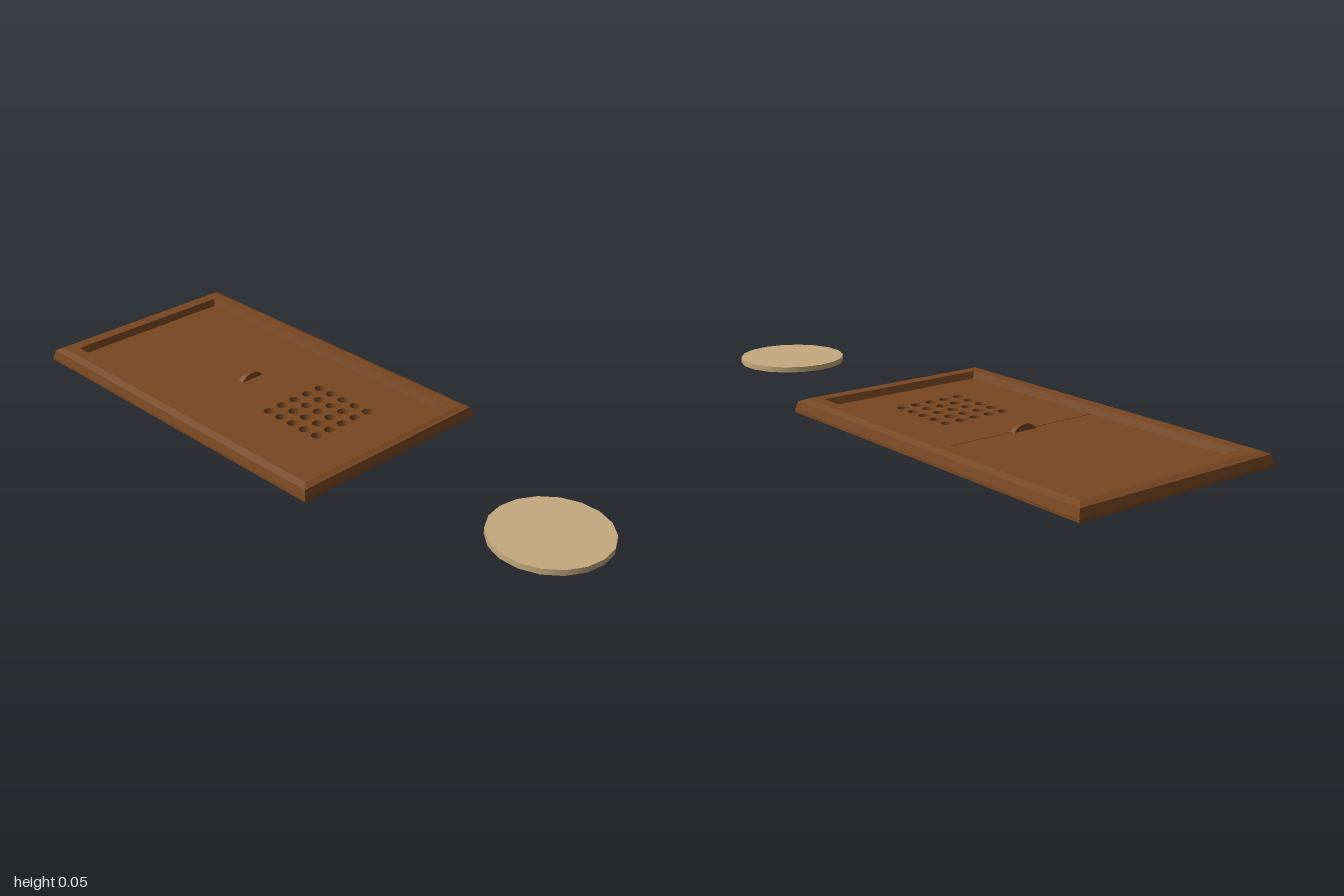
import * as THREE from 'three';

const X0 = -1, X1 = 0.24, Z = 0.355, MID = -0.38, INSET = 0.072;

// Mitred rectangular frame swept from a closed profile of [inset, height] points
function frameGeometry(profile) {
  const ring = ([d, y]) => [
    [X0 + d, y, Z - d], [X1 - d, y, Z - d], [X1 - d, y, -Z + d], [X0 + d, y, -Z + d],
  ];
  const pos = [];
  profile.forEach((p, i) => {
    const a = ring(p), b = ring(profile[(i + 1) % profile.length]);
    for (let k = 0; k < 4; k++) {
      const n = (k + 1) % 4;
      pos.push(...a[k], ...a[n], ...b[n], ...a[k], ...b[n], ...b[k]);
    }
  });
  const geo = new THREE.BufferGeometry();
  geo.setAttribute('position', new THREE.Float32BufferAttribute(pos, 3));
  geo.computeVertexNormals();
  return geo;
}

// Flat floor panel lying on the ground, with optional round holes
function panelGeometry(x0, x1, height, holes = []) {
  const z = Z - INSET;
  const shape = new THREE.Shape();
  shape.moveTo(x0, -z).lineTo(x1, -z).lineTo(x1, z).lineTo(x0, z).closePath();
  for (const [hx, hz] of holes) {
    shape.holes.push(new THREE.Path().absarc(hx, -hz, 0.018, 0, Math.PI * 2, true));
  }
  const geo = new THREE.ExtrudeGeometry(shape, { depth: height, bevelEnabled: false, curveSegments: 8 });
  return geo.rotateX(-Math.PI / 2);
}

export function createModel() {
  const group = new THREE.Group();
  const wood = new THREE.MeshStandardMaterial({ color: 0x784722 });
  wood.name = 'brown wood';
  const tan = new THREE.MeshStandardMaterial({ color: 0xc6a97e });
  tan.name = 'tan';
  const add = (name, geo, mat) => {
    const mesh = new THREE.Mesh(geo, mat);
    mesh.name = name;
    group.add(mesh);
    return mesh;
  };

  // Raised rim with bevelled outside and steep inside wall
  add('rim', frameGeometry([
    [0, 0], [0, 0.008], [0.007, 0.034], [0.027, 0.043],
    [0.064, 0.043], [INSET, 0.02], [INSET, 0],
  ]), wood);

  // Two floor panels, the second with a square grid of holes
  const holes = [];
  for (let i = 0; i < 5; i++) {
    for (let j = 0; j < 5; j++) holes.push([-0.198 + i * 0.0535, -0.116 + j * 0.0537]);
  }
  add('solidPanel', panelGeometry(X0 + INSET, MID, 0.02), wood);
  add('ventPanel', panelGeometry(MID, X1 - INSET, 0.021, holes), wood);

  // Small arched grip: a segment of a disc standing on the floor
  const half = 0.88;
  const arc = new THREE.Shape();
  arc.absarc(0, 0, 0.054, Math.PI / 2 - half, Math.PI / 2 + half, false);
  arc.closePath();
  const grip = new THREE.ExtrudeGeometry(arc, { depth: 0.018, bevelEnabled: false, curveSegments: 10 });
  grip.translate(0, 0, -0.009).rotateY(Math.PI / 2);
  add('grip', grip, wood).position.set(-0.4, -0.0075, 0);

  // Loose round disc beside the tray
  const disc = new THREE.CylinderGeometry(0.1775, 0.1775, 0.018, 18).rotateY(Math.PI / 2);
  add('disc', disc, tan).position.set(0.8225, 0.009, 0);

  return group;
}
